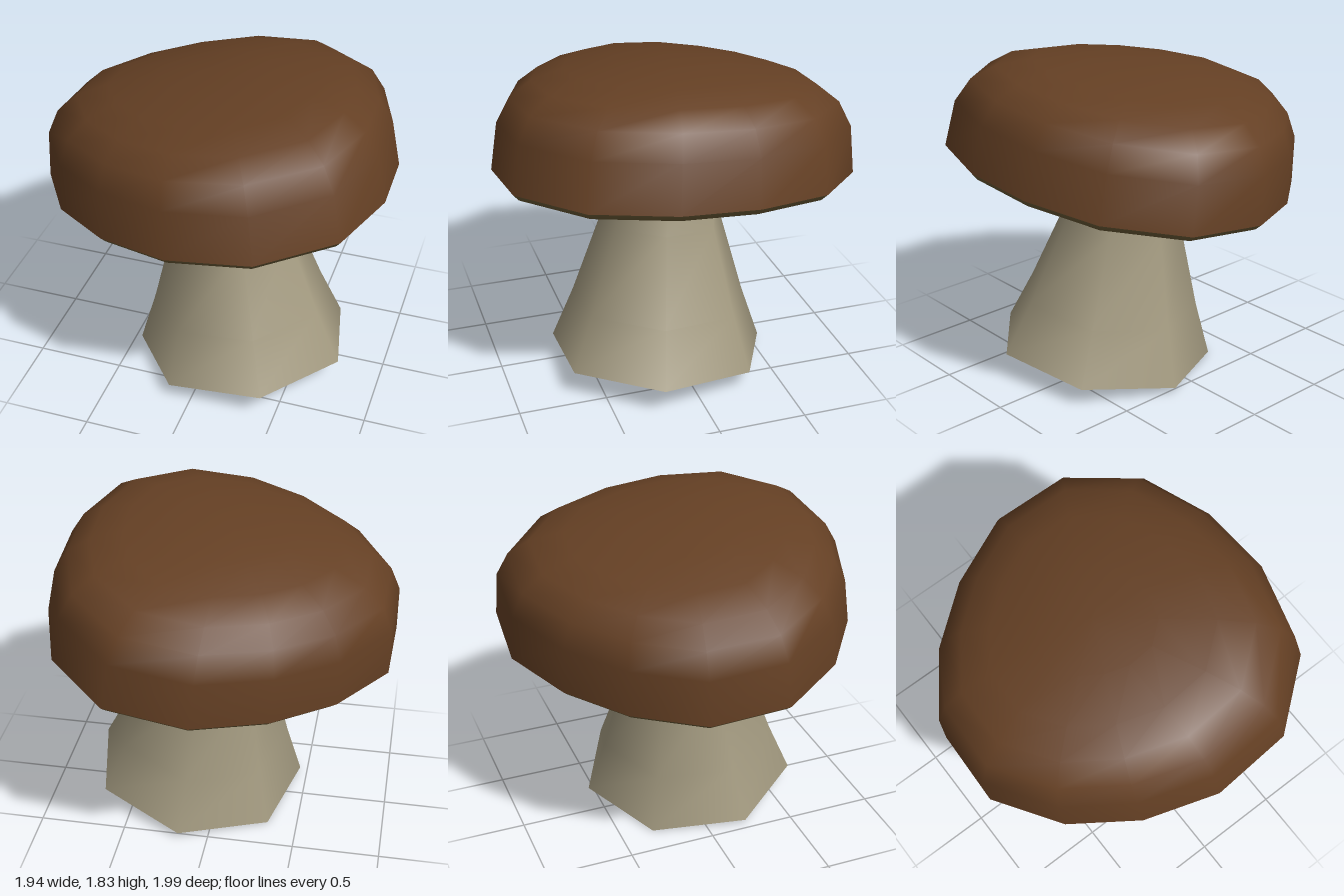
import * as THREE from 'three';
import { mergeVertices } from 'three/addons/utils/BufferGeometryUtils.js';

// Skin between scaled copies of one outline; profile rows are [scale, height, extraX, extraZ].
function loft(radii, startAngle, profile) {
  const n = radii.length, pos = [], idx = [];
  for (const [s, h] of profile) {
    radii.forEach((r, j) => {
      const a = startAngle + (j / n) * Math.PI * 2;
      pos.push(Math.cos(a) * r * s, h, Math.sin(a) * r * s);
    });
  }
  for (let i = 0; i < profile.length - 1; i++) {
    for (let j = 0; j < n; j++) {
      const k = (j + 1) % n;
      const a = i * n + j, b = i * n + k, c = a + n, d = b + n;
      idx.push(a, c, b, b, c, d);
    }
  }
  let g = new THREE.BufferGeometry();
  g.setAttribute('position', new THREE.Float32BufferAttribute(pos, 3));
  g.setIndex(idx);
  g = mergeVertices(g, 1e-4); // fuses the points at the centre
  g.computeVertexNormals();
  return g;
}

export function createModel() {
  const model = new THREE.Group();
  model.name = 'mushroom';

  const capBrown = new THREE.MeshStandardMaterial({ color: 0x654024 });
  const gillOlive = new THREE.MeshStandardMaterial({ color: 0x716039 });
  const stemCream = new THREE.MeshStandardMaterial({ color: 0xa39a80, side: THREE.DoubleSide });
  capBrown.name = 'capBrown';
  gillOlive.name = 'gillOlive';
  stemCream.name = 'stemCream';

  // Cap and stem lean the same way
  const lean = new THREE.Quaternion().setFromUnitVectors(
    new THREE.Vector3(0, 1, 0), new THREE.Vector3(-0.11, 1, -0.07).normalize());

  const add = (parent, name, geometry, material) => {
    const mesh = new THREE.Mesh(geometry, material);
    mesh.name = name;
    parent.add(mesh);
  };

  // Cap: uneven fourteen-sided outline
  const cap = new THREE.Group();
  cap.name = 'cap';
  cap.position.set(0, 1.2, 0);
  cap.quaternion.copy(lean);
  model.add(cap);
  const rim = [0.995, 1.07, 1.07, 0.99, 0.94, 0.957, 1.01, 0.995, 0.923, 0.92, 1.0, 1.07, 1.04, 0.98];
  const rimStart = Math.PI / 14;
  add(cap, 'capTop', loft(rim, rimStart, [
    [1, 0], [0.97, 0.265], [0.9, 0.4], [0.78, 0.49], [0.6, 0.55], [0.32, 0.59], [0, 0.605],
  ]), capBrown);
  add(cap, 'gills', loft(rim, rimStart, [[0.385, -0.01], [0.965, -0.035], [1, 0]]), gillOlive);
  // Hollow around the top of the stem
  add(cap, 'stemSocket', loft(rim, rimStart, [[0, 0.07], [0.385, 0.07], [0.385, -0.01]]), capBrown);

  // Stem: flared seven-sided tube, open below
  const stem = new THREE.Group();
  stem.name = 'stem';
  stem.position.set(0.16, 0.082, 0.09);
  stem.quaternion.copy(lean);
  model.add(stem);
  add(stem, 'stemTube', loft(Array(7).fill(0.635), 0.236, [
    [1, 0], [0.81, 0.31], [0.556, 0.8], [0.51, 1.1], [0.5, 1.19],
  ]), stemCream);

  return model;
}
